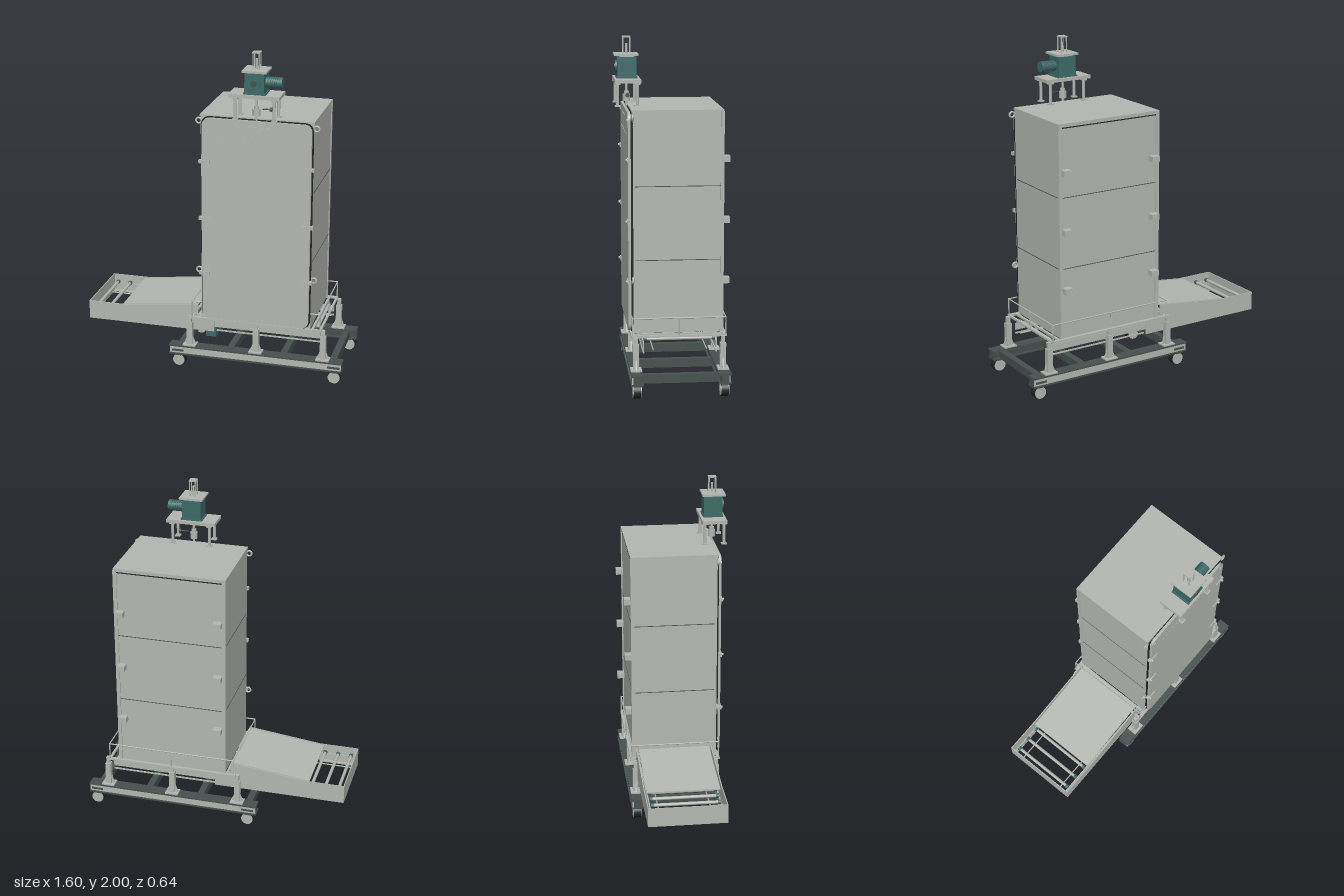
import * as THREE from 'three';

const mat = (name, color) => Object.assign(new THREE.MeshStandardMaterial({ color }), { name });

export function createModel() {
  const grey = mat('painted grey', 0xb4b7b1);
  const dark = mat('dark frame', 0x47514f);
  const teal = mat('teal drive', 0x3d6b69);
  const black = mat('rubber black', 0x222625);
  const model = new THREE.Group();
  let target = model;

  const group = (name) => { target = new THREE.Group(); target.name = name; model.add(target); };
  const add = (name, geo, m) => {
    const mesh = new THREE.Mesh(geo, m);
    mesh.name = name;
    target.add(mesh);
    return mesh;
  };
  // Box given by its minimum and maximum on each axis
  const box = (name, x0, x1, y0, y1, z0, z1, m = grey) => {
    const b = add(name, new THREE.BoxGeometry(x1 - x0, y1 - y0, z1 - z0), m);
    b.position.set((x0 + x1) / 2, (y0 + y1) / 2, (z0 + z1) / 2);
    return b;
  };
  // Cylinder centred at a point and lying along one axis
  const cyl = (name, axis, r, len, x, y, z, m = grey, seg = 20) => {
    const c = add(name, new THREE.CylinderGeometry(r, r, len, seg), m);
    if (axis === 'x') c.rotation.z = Math.PI / 2;
    if (axis === 'z') c.rotation.x = Math.PI / 2;
    c.position.set(x, y, z);
    return c;
  };
  const roundRect = (x0, x1, y0, y1, r) => {
    const s = new THREE.Shape();
    s.absarc(x1 - r, y1 - r, r, 0, Math.PI / 2);
    s.absarc(x0 + r, y1 - r, r, Math.PI / 2, Math.PI);
    s.absarc(x0 + r, y0 + r, r, Math.PI, Math.PI * 1.5);
    s.absarc(x1 - r, y0 + r, r, Math.PI * 1.5, Math.PI * 2);
    return s;
  };
  const extrude = (name, shape, z0, depth, m = grey) => {
    const e = add(name, new THREE.ExtrudeGeometry(shape, { depth, bevelEnabled: false, curveSegments: 10 }), m);
    e.position.z = z0;
    return e;
  };
  const poly = (pts) => new THREE.Shape(pts.map(([x, y]) => new THREE.Vector2(x, y)));
  const ZF = 0.225, ZB = -0.27;

  // Cabinet body with panel seams
  group('cabinet');
  box('cabinetBody', -0.068, 0.6, 0.335, 1.6, -0.275, 0.235);
  box('roofPanel', -0.072, 0.604, 1.598, 1.61, -0.28, 0.24);
  box('roofSeam', -0.05, 0.582, 1.582, 1.588, -0.277, -0.274, black);
  for (const y of [0.757, 1.18]) {
    box('sideSeam', -0.0695, 0.6015, y - 0.002, y + 0.002, -0.2765, 0.22, dark);
  }
  for (const x of [-0.062, 0.594]) box('cornerTrim', x - 0.011, x + 0.011, 0.335, 1.6, -0.282, -0.262);
  for (const x of [-0.028, 0.565]) for (const y of [0.63, 0.98, 1.33]) {
    box('backBracket', x - 0.025, x + 0.025, y - 0.017, y + 0.017, -0.318, -0.275);
  }

  // Front door with seal, clamps and lifting rings
  group('door');
  extrude('doorSeal', roundRect(-0.063, 0.6, 0.336, 1.602, 0.05), 0.232, 0.012, black);
  extrude('doorPanel', roundRect(-0.056, 0.593, 0.343, 1.595, 0.045), 0.244, 0.016);
  for (const y of [0.635, 0.98, 1.33]) for (const s of [-1, 1]) {
    const x = 0.268 + s * 0.31;
    box('doorClamp', x - 0.033, x + 0.033, y - 0.01, y + 0.01, 0.245, 0.266);
    cyl('clampPin', 'z', 0.008, 0.02, x + s * 0.015, y, 0.265);
  }
  for (const y of [0.645, 1.57]) for (const s of [-1, 1]) {
    const ring = add('liftingRing', new THREE.TorusGeometry(0.016, 0.006, 8, 18), grey);
    ring.position.set(0.268 + s * 0.348, y, 0.235);
    cyl('ringBolt', 'z', 0.009, 0.02, 0.268 + s * 0.3, y - 0.02, 0.255);
  }
  box('doorHandle', 0.19, 0.34, 1.553, 1.559, 0.26, 0.264);
  for (let i = 0; i < 16; i++) box('doorRivet', 0.04 + i * 0.03, 0.054 + i * 0.03, 1.463, 1.467, 0.26, 0.262);

  // Wheeled base frame of channel rails and cross beams
  group('baseFrame');
  for (const [z, s] of [[ZF, 1], [ZB, -1]]) {
    box('railWeb', -0.265, 0.8, 0.08, 0.138, z - 0.022, z + 0.022, dark);
    for (const y of [0.08, 0.131]) box('railFlange', -0.27, 0.8, y, y + 0.009, z - 0.036, z + 0.036, dark);
    box('railFace', -0.265, 0.796, 0.089, 0.131, z + s * 0.026 - 0.004, z + s * 0.026 + 0.004);
    for (const x of [-0.215, 0.75]) {
      box('railSlot', x - 0.037, x + 0.037, 0.1, 0.113, z + s * 0.03 - 0.002, z + s * 0.03 + 0.002, dark);
      cyl('tyre', 'z', 0.04, 0.042, x + 0.003, 0.04, z, black, 28);
      cyl('wheelDisc', 'z', 0.036, 0.05, x + 0.003, 0.04, z, grey, 28);
      box('wheelFork', x - 0.02, x + 0.02, 0.072, 0.084, z - 0.03, z + 0.03, dark);
    }
  }
  for (const x of [-0.21, 0.1, 0.43, 0.735]) box('crossBeam', x - 0.02, x + 0.02, 0.083, 0.132, ZB, ZF, dark);

  // Support posts with gussets
  group('supportPosts');
  for (const z of [ZF, ZB]) for (const x of [-0.145, 0.268, 0.68]) {
    box('postFoot', x - 0.04, x + 0.04, 0.138, 0.148, z - 0.032, z + 0.032);
    box('postSleeve', x - 0.017, x + 0.017, 0.145, 0.29, z - 0.017, z + 0.017);
    box('postInner', x - 0.011, x + 0.011, 0.28, 0.33, z - 0.011, z + 0.011);
    extrude('postGusset', poly([[x - 0.036, 0.147], [x + 0.036, 0.147], [x + 0.017, 0.2], [x - 0.017, 0.2]]), z - 0.004, 0.008);
  }

  // Platform edge frame and guard rail
  group('platform');
  for (const z of [0.24, -0.285]) box('platformBar', -0.135, 0.667, 0.324, 0.336, z - 0.01, z + 0.01);
  for (const x of [-0.125, -0.08, 0.615, 0.662]) box('platformEnd', x - 0.007, x + 0.007, 0.324, 0.336, -0.29, 0.245);
  for (const x of [-0.125, 0.662]) {
    cyl('sideGuardRail', 'z', 0.004, 0.535, x, 0.435, -0.022, grey, 8);
    for (const z of [0.243, -0.022, -0.289]) {
      if (x < 0 && z === -0.022) continue;
      cyl('guardPost', 'y', 0.004, 0.105, x, 0.384, z, grey, 8);
    }
    const s = Math.sign(x);
    cyl('frontGuardRail', 'x', 0.004, 0.06, x - s * 0.03, 0.435, 0.243, grey, 8);
  }
  cyl('backGuardRail', 'x', 0.004, 0.787, 0.268, 0.435, -0.289, grey, 8);
  cyl('backGuardPost', 'y', 0.004, 0.105, 0.268, 0.384, -0.289, grey, 8);

  // Roller conveyor with infeed chute
  group('conveyor');
  const side = poly([[-0.8, 0.232], [0, 0.232], [0, 0.325], [-0.1, 0.34], [-0.1, 0.4], [-0.56, 0.347], [-0.8, 0.347]]);
  for (const z of [-0.26, 0.196]) {
    extrude('chuteSide', side, z, 0.006);
    const inner = z < 0 ? z + 0.02 : z - 0.02;
    box('chuteLip', -0.8, -0.56, 0.232, 0.24, Math.min(z, inner), Math.max(z, inner) + 0.006);
    box('conveyorRail', -0.79, 0.655, 0.255, 0.297, inner, inner + 0.008);
    box('lowerRail', 0, 0.655, 0.23, 0.238, inner, inner + 0.008);
  }
  box('chuteEnd', -0.8, -0.794, 0.232, 0.347, -0.26, 0.202);
  extrude('chuteCover', poly([[-0.585, 0.338], [-0.1, 0.393], [-0.1, 0.399], [-0.585, 0.344]]), -0.245, 0.432);
  for (const z of [-0.18, 0.125]) cyl('tieRod', 'x', 0.004, 1.44, -0.07, 0.25, z, grey, 8);
  for (let i = 0; i < 18; i++) {
    const x = -0.76 + i * 0.0815;
    cyl('roller', 'z', 0.01, 0.4, x, 0.307, -0.027, grey, 12);
    for (const z of [-0.222, 0.168]) cyl('rollerSprocket', 'z', 0.013, 0.018, x, 0.307, z, teal, 12);
  }
  cyl('conveyorMotor', 'z', 0.03, 0.09, -0.015, 0.222, 0.1, teal);
  for (let i = 0; i < 5; i++) cyl('motorFin', 'z', 0.034, 0.006, -0.015, 0.222, 0.07 + i * 0.015, teal);
  box('conveyorGearbox', -0.052, 0.012, 0.195, 0.255, 0.14, 0.195, teal);

  // Lifting drive on its table above the roof
  group('liftDrive');
  const cx = 0.266, cz = 0.245;
  box('driveTable', 0.116, 0.416, 1.742, 1.762, 0.17, 0.318);
  for (const x of [0.154, 0.382]) for (const z of [0.19, 0.303]) {
    cyl('tableLeg', 'y', 0.009, 0.135, x, 1.676, z);
    box('legFoot', x - 0.016, x + 0.016, 1.608, 1.616, z - 0.016, z + 0.016);
    box('legCap', x - 0.016, x + 0.016, 1.732, 1.742, z - 0.016, z + 0.016);
  }
  cyl('liftShaft', 'y', 0.007, 0.16, cx, 1.67, cz);
  cyl('shaftCoupling', 'y', 0.022, 0.04, cx, 1.648, cz);
  cyl('couplingCollar', 'y', 0.015, 0.02, cx, 1.676, cz);
  cyl('sensorStem', 'x', 0.004, 0.06, 0.33, 1.668, cz, dark, 8);
  cyl('sensorHead', 'x', 0.012, 0.014, 0.35, 1.668, cz, dark, 12);
  box('gearbox', 0.207, 0.322, 1.77, 1.882, 0.19, 0.3, teal);
  box('gearboxFoot', 0.2, 0.33, 1.762, 1.77, 0.185, 0.305, teal);
  cyl('gearboxCover', 'z', 0.036, 0.02, cx - 0.002, 1.827, 0.301, teal, 24);
  cyl('gearboxBore', 'z', 0.018, 0.008, cx - 0.002, 1.827, 0.312, dark);
  cyl('driveMotor', 'x', 0.029, 0.1, 0.367, 1.828, cz, teal);
  for (let i = 0; i < 6; i++) cyl('coolingFin', 'x', 0.033, 0.006, 0.338 + i * 0.012, 1.828, cz, teal);
  cyl('fanCowl', 'x', 0.032, 0.016, 0.41, 1.828, cz, teal);
  box('topPlate', 0.194, 0.338, 1.89, 1.902, 0.18, 0.318);
  box('plateSpacer', 0.225, 0.307, 1.88, 1.892, 0.205, 0.285);
  for (const x of [cx - 0.018, cx + 0.018]) for (const z of [cz - 0.02, cz + 0.02]) {
    box('guidePost', x - 0.003, x + 0.003, 1.9, 1.994, z - 0.003, z + 0.003);
  }
  cyl('spindle', 'y', 0.007, 0.06, cx, 1.93, cz);
  box('guideCap', cx - 0.022, cx + 0.022, 1.993, 2.0, cz - 0.024, cz + 0.024);

  return model;
}
